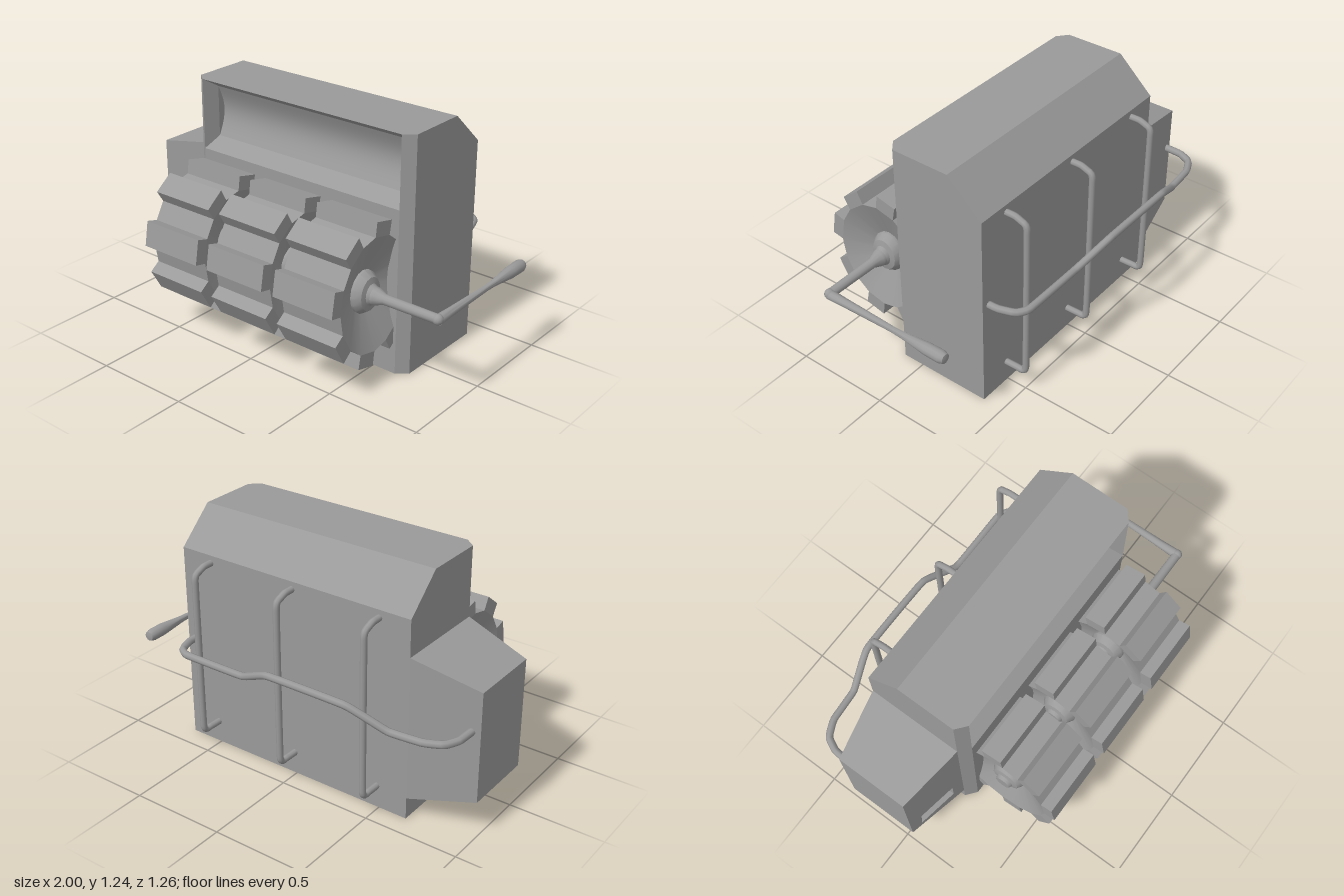
import * as THREE from 'three';
import { toCreasedNormals } from 'three/addons/utils/BufferGeometryUtils.js';

const grey = new THREE.MeshStandardMaterial({ color: 0x9a9a9a, side: THREE.DoubleSide });
grey.name = 'grey metal';

function add(parent, name, geometry) {
  const mesh = new THREE.Mesh(geometry, grey);
  mesh.name = name;
  parent.add(mesh);
  return mesh;
}

// Geometry from convex polygons, each fanned into triangles
function polygons(list) {
  const v = [];
  for (const p of list)
    for (let i = 1; i < p.length - 1; i++) v.push(...p[0], ...p[i], ...p[i + 1]);
  const g = new THREE.BufferGeometry();
  g.setAttribute('position', new THREE.Float32BufferAttribute(v, 3));
  g.computeVertexNormals();
  return toCreasedNormals(g, 0.3);
}

// Quads joining two closed loops of equal length
const bridge = (a, b) => a.map((p, i) => {
  const j = (i + 1) % a.length;
  return [p, a[j], b[j], b[i]];
});

// Rectangle corners, counter-clockwise from the front, with z given by a rule
const rect = (x0, x1, y0, y1, z) =>
  [[x0, y0], [x1, y0], [x1, y1], [x0, y1]].map(([x, y]) => [x, y, z(x)]);

// Cabinet with chamfered front corners, sloped rear top and a curved upper recess
function cabinet() {
  const loop = (y, back) => [[-0.6, 0.16], [0.63, 0.16], [0.685, 0.115], [0.685, back],
    [-0.655, back], [-0.655, 0.115]].map(([x, z]) => [x, y, z]);
  const levels = [loop(0, -0.39), loop(1.06, -0.39), loop(1.235, -0.2)];
  const faces = [levels[2], [...levels[0]].reverse()];
  for (let i = 0; i < 2; i++) faces.push(...bridge(levels[i], levels[i + 1]).slice(1));
  faces.push(rect(-0.6, 0.63, 0, 0.865, () => 0.16));
  // recess bevel and its hollow back
  const x0 = -0.57, x1 = 0.6, y0 = 0.92, y1 = 1.185, n = 10;
  faces.push(...bridge(rect(-0.6, 0.63, 0.865, 1.235, () => 0.16), rect(x0, x1, y0, y1, () => 0.08)));
  const curve = Array.from({ length: n + 1 }, (_, i) =>
    [y0 + (y1 - y0) * i / n, 0.08 - 0.04 * Math.sin(Math.PI * i / n)]);
  for (let i = 0; i < n; i++) {
    const [a, b] = [curve[i], curve[i + 1]];
    faces.push([[x0, ...a], [x1, ...a], [x1, ...b], [x0, ...b]]);
  }
  faces.push(curve.map(p => [x0, ...p]).reverse(), curve.map(p => [x1, ...p]));
  return polygons(faces);
}

// Tapered side box with a small pocket in its front
function sideBox() {
  const front = x => 0.115 + (x + 0.655) * 0.174;
  const F = [[-1, 0.2, 0.055], [-0.655, 0.115, 0.115], [-0.655, 0.87, 0.115], [-1, 0.78, 0.055]];
  const B = [[-1, 0.2, -0.33], [-0.655, 0.115, -0.39], [-0.655, 0.87, -0.39], [-1, 0.78, -0.33]];
  const rim = rect(-0.935, -0.72, 0.225, 0.35, front);
  const floor = rect(-0.89, -0.725, 0.247, 0.33, x => front(x) - 0.05);
  return polygons([...bridge(F, rim), ...bridge(rim, floor), floor,
    ...bridge(B, F), [...B].reverse()]);
}

// Toothed drum with dished ends, slightly oval, along x
const OVAL = 0.857;
function drum(w, hubR, depth) {
  const at = (deg, r) => {
    const a = THREE.MathUtils.degToRad(deg);
    return [r * Math.sin(a), r * Math.cos(a) * OVAL];
  };
  const outline = [], base = [], hub = [], teeth = [];
  for (let k = 0; k < 8; k++) {
    const c = 11.25 + 45 * k;
    const tooth = [at(c - 12.3, 0.297), at(c - 10.2, 0.37), at(c + 10.2, 0.37), at(c + 12.3, 0.297)];
    teeth.push(tooth);
    outline.push(...tooth);
    base.push(tooth[0], tooth[3]);
    hub.push(at(c - 12.3, hubR), at(c + 12.3, hubR));
  }
  const put = (pts, x) => pts.map(p => [x, ...p]);
  const faces = bridge(put(outline, -w), put(outline, w)).map(([a, b, c, d]) => [a, d, c, b]);
  for (const s of [-1, 1]) {
    const end = [...teeth.map(t => put(t, s * w)),
      ...bridge(put(base, s * w), put(hub, s * (w - depth)))];
    faces.push(...end.map(f => (s > 0 ? [...f].reverse() : f)));
  }
  return polygons(faces);
}

const lathe = (pts, n = 12) => toCreasedNormals(
  new THREE.LatheGeometry(pts.map(p => new THREE.Vector2(...p)), n), 0.7);

function rod(pts, r) {
  const curve = new THREE.CatmullRomCurve3(pts.map(p => new THREE.Vector3(...p)), false, 'catmullrom', 0.15);
  return new THREE.TubeGeometry(curve, 90, r, 8);
}

export function createModel() {
  const model = new THREE.Group();
  model.name = 'drum machine';
  add(model, 'cabinet', cabinet());
  add(model, 'sideBox', sideBox());

  // Three drums with a hub in each dished end
  const w = 0.175, axisY = 0.484, axisZ = 0.3125;
  for (const x of [-0.4, 0.02, 0.44]) {
    const group = new THREE.Group();
    group.name = 'drum';
    group.position.set(x, axisY, axisZ);
    add(group, 'toothedDrum', drum(w, 0.09, 0.08));
    for (const s of [-1, 1]) {
      const hub = lathe([[0.108, w - 0.09], [0.11, w - 0.06], [0.085, w - 0.025], [0.055, w - 0.018], [0.045, w], [0, w]], 16);
      hub.rotateZ(-s * Math.PI / 2).scale(1, 1, OVAL);
      add(group, 'hub', hub);
    }
    model.add(group);
  }

  // Crank: shaft, elbow and handle with a swollen grip
  const shaft = lathe([[0.045, 0], [0.042, 0.015], [0.026, 0.06], [0.024, 0.35]]);
  add(model, 'crankShaft', shaft.rotateZ(-Math.PI / 2)).position.set(0.615, axisY, axisZ);
  add(model, 'crankElbow', new THREE.SphereGeometry(0.027, 12, 8)).position.set(0.965, axisY, axisZ);
  const handle = lathe([[0.026, 0], [0.022, 0.1], [0.015, 0.4], [0.018, 0.47], [0.032, 0.61],
    [0.033, 0.69], [0.025, 0.715], [0, 0.722]]);
  add(model, 'crankHandle', handle.rotateX(-Math.PI / 2)).position.set(0.965, axisY - 0.003, axisZ);

  // Upright rails on the back
  for (const x of [-0.485, 0.01, 0.51])
    add(model, 'backRail', rod([[x, 1.02, -0.38], [x, 1.02, -0.44], [x, 1.005, -0.48], [x, 0.965, -0.507],
      [x, 0.15, -0.507], [x, 0.122, -0.46], [x, 0.12, -0.38]], 0.017));

  // Long bent pipe across the back
  add(model, 'backPipe', rod([[-0.955, 0.57, -0.33], [-0.95, 0.57, -0.43], [-0.915, 0.57, -0.5],
    [-0.83, 0.57, -0.54], [-0.655, 0.57, -0.555], [-0.46, 0.665, -0.612], [-0.01, 0.665, -0.612],
    [0.19, 0.57, -0.555], [0.55, 0.57, -0.555], [0.61, 0.57, -0.52], [0.638, 0.57, -0.44],
    [0.64, 0.57, -0.38]], 0.019));
  return model;
}
